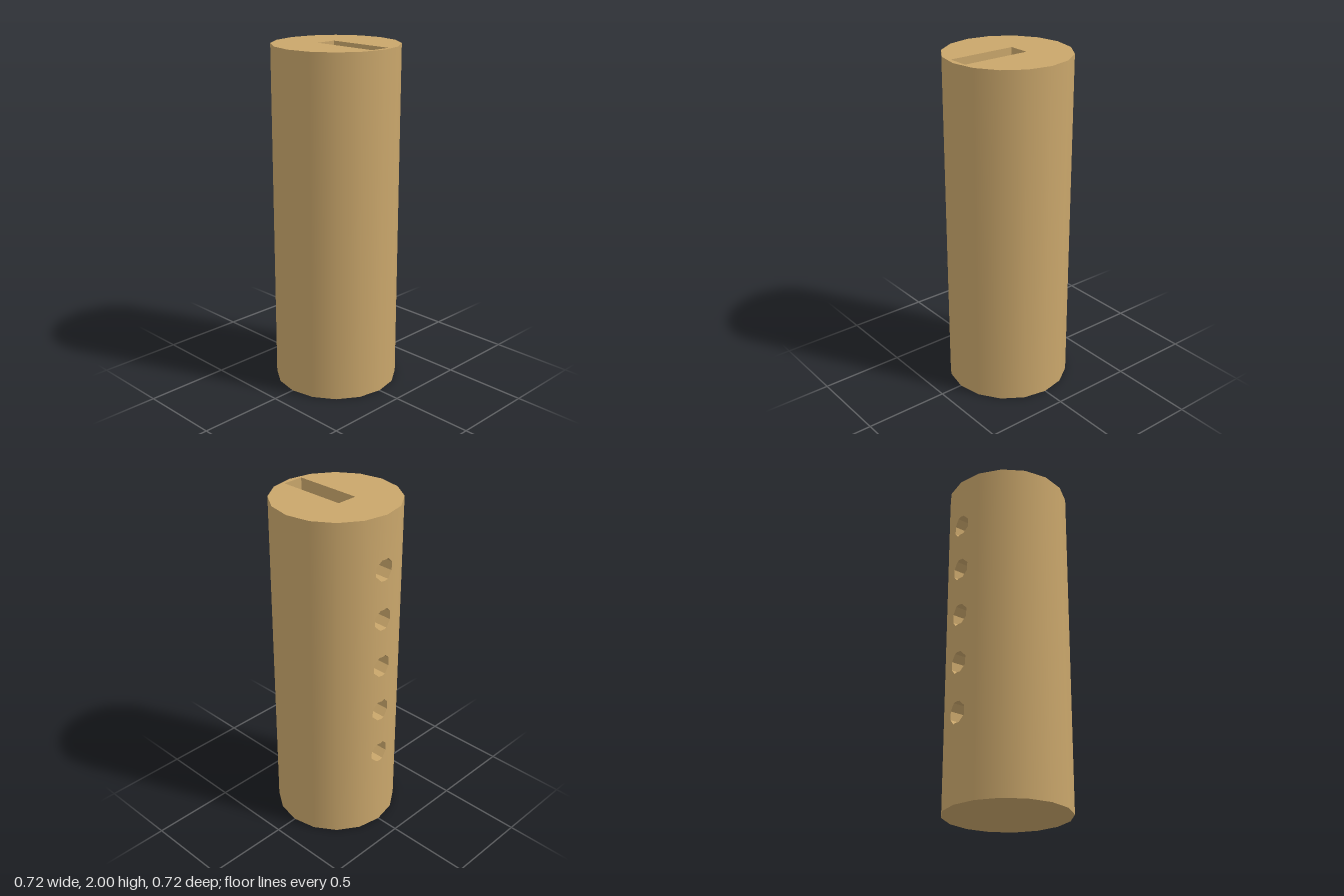
import * as THREE from 'three';

const R = 0.362, H = 2, SIDES = 16;
const SLOT = { x0: -0.08, x1: 0.33, z: 0.063, floor: 0.3 };
const HOLE_Y = [0.51, 0.805, 1.1, 1.395, 1.69];
const A = 0.061, S = A * Math.tan(Math.PI / 8); // octagon apothem and half side

// right half of the octagonal hole outline, top to bottom, as [z, y]
const HALF = [[0, A], [S, A], [A, S], [A, -S], [S, -A], [0, -A]];
const OUTLINE = [...HALF, ...HALF.slice(1, -1).reverse().map(([z, y]) => [-z, y])];

const SLOPE = Math.tan(Math.PI / SIDES);
const surfaceX = z => -R + Math.abs(z) * SLOPE; // outer face beside the drilled ridge

const smooth = new THREE.MeshStandardMaterial({ color: 0xc9a66b });
const flat = new THREE.MeshStandardMaterial({ color: 0xc9a66b, flatShading: true });

const vecs = pts => pts.map(([x, y]) => new THREE.Vector2(x, y));

// one facet beside the ridge, with half-holes notched out of its edge
function drilledFacet(sign) {
  const w = R * Math.sin(2 * Math.PI / SIDES);
  const pts = [[0, 0], [w, 0], [w, H], [0, H]];
  for (const y of [...HOLE_Y].reverse()) HALF.forEach(p => pts.push([p[0], y + p[1]]));
  const geo = new THREE.ShapeGeometry(new THREE.Shape(vecs(pts)));
  const pos = geo.attributes.position, nor = geo.attributes.normal;
  for (let i = 0; i < pos.count; i++) {
    const u = pos.getX(i), x = surfaceX(u), z = u * sign, len = Math.hypot(x, z);
    pos.setXYZ(i, x, pos.getY(i), z);
    nor.setXYZ(i, x / len, 0, z / len);
  }
  if (sign < 0) geo.index.array.reverse();
  return geo;
}

// bore from the outer face through to the slot
function boreGeometry(y) {
  const v = [];
  OUTLINE.forEach(([z, h], i) => {
    const [z2, h2] = OUTLINE[(i + 1) % OUTLINE.length];
    const p = [surfaceX(z), y + h, z], q = [surfaceX(z2), y + h2, z2];
    const pi = [SLOT.x0, y + h, z], qi = [SLOT.x0, y + h2, z2];
    v.push(...p, ...pi, ...q, ...q, ...pi, ...qi);
  });
  const geo = new THREE.BufferGeometry();
  geo.setAttribute('position', new THREE.Float32BufferAttribute(v, 3));
  geo.computeVertexNormals();
  return geo;
}

export function createModel() {
  const root = new THREE.Group();
  root.name = 'slottedCylinder';
  const add = (name, geo, mat = flat, parent = root) => {
    const mesh = new THREE.Mesh(geo, mat);
    mesh.name = name;
    parent.add(mesh);
    return mesh;
  };

  // outer wall: plain facets plus the two drilled ones
  const step = 2 * Math.PI / SIDES;
  add('outerWall', new THREE.CylinderGeometry(R, R, H, SIDES - 2, 1, true,
    1.5 * Math.PI + step, 2 * Math.PI - 2 * step), smooth).position.y = H / 2;
  add('drilledWallFront', drilledFacet(1), smooth);
  add('drilledWallBack', drilledFacet(-1), smooth);

  // end faces
  const ring = Array.from({ length: SIDES }, (_, i) => [R * Math.cos(i * step), R * Math.sin(i * step)]);
  const top = new THREE.Shape(vecs(ring));
  const { x0, x1, z, floor } = SLOT;
  top.holes.push(new THREE.Path(vecs([[x0, -z], [x0, z], [x1, z], [x1, -z]])));
  add('topFace', new THREE.ShapeGeometry(top).rotateX(-Math.PI / 2)).position.y = H;
  add('bottomFace', new THREE.CircleGeometry(R, SIDES).rotateX(Math.PI / 2));

  // deep slot sunk from the top
  const slot = new THREE.Group();
  slot.name = 'slot';
  root.add(slot);
  const depth = H - floor, midX = (x0 + x1) / 2, midY = (H + floor) / 2;
  add('slotFrontWall', new THREE.PlaneGeometry(x1 - x0, depth).rotateY(Math.PI), flat, slot)
    .position.set(midX, midY, z);
  add('slotBackWall', new THREE.PlaneGeometry(x1 - x0, depth), flat, slot)
    .position.set(midX, midY, -z);
  add('slotOuterWall', new THREE.PlaneGeometry(2 * z, depth).rotateY(-Math.PI / 2), flat, slot)
    .position.set(x1, midY, 0);
  add('slotFloor', new THREE.PlaneGeometry(x1 - x0, 2 * z).rotateX(-Math.PI / 2), flat, slot)
    .position.set(midX, floor, 0);
  const inner = new THREE.Shape(vecs([[-z, floor], [z, floor], [z, H], [-z, H]]));
  for (const y of HOLE_Y) inner.holes.push(new THREE.Path(vecs(OUTLINE.map(p => [p[0], p[1] + y]))));
  add('slotInnerWall', new THREE.ShapeGeometry(inner).rotateY(Math.PI / 2), flat, slot).position.x = x0;

  // row of side holes opening into the slot
  const holes = new THREE.Group();
  holes.name = 'sideHoles';
  root.add(holes);
  HOLE_Y.forEach((y, i) => add(`sideHole${i + 1}`, boreGeometry(y), flat, holes));
  return root;
}
